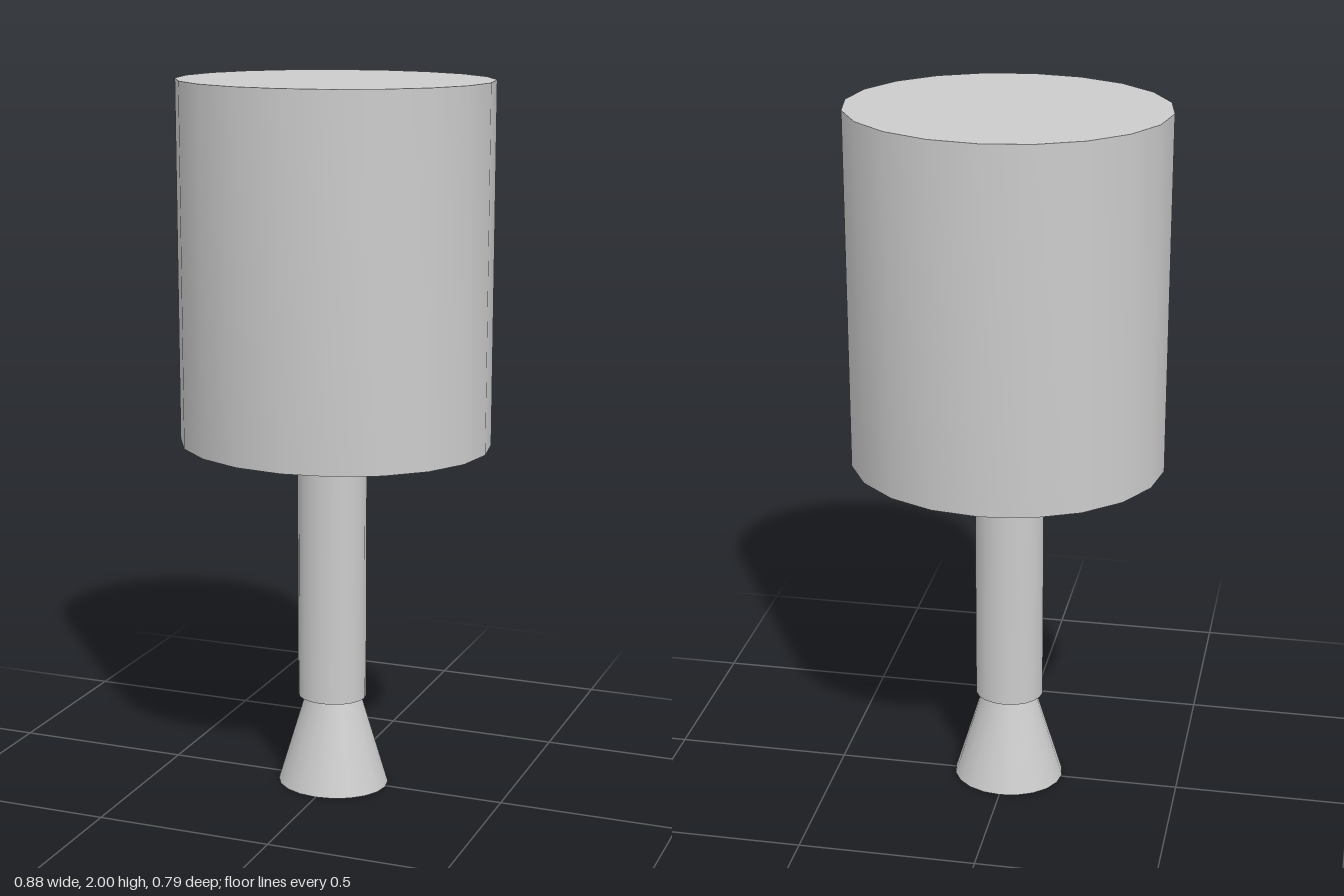
import * as THREE from 'three';
import { toCreasedNormals } from 'three/addons/utils/BufferGeometryUtils.js';

const SIDES = 20;
const OVAL = 0.9; // depth to width ratio shared by every part

export function createModel() {
  const model = new THREE.Group();
  const material = new THREE.MeshStandardMaterial({ color: 0xcccccc });

  function add(name, geometry, x, y, z) {
    geometry.scale(1, 1, OVAL);
    const mesh = new THREE.Mesh(toCreasedNormals(geometry, 0.6), material);
    mesh.name = name;
    mesh.position.set(x, y, z);
    model.add(mesh);
  }

  // Hollow oval head, closed on top and open below
  const profile = [[0, 0.94], [0.38, 0.94], [0.38, 0], [0.438, 0], [0.438, 1], [0, 1]]
    .map(([r, y]) => new THREE.Vector2(r, y));
  add('head', new THREE.LatheGeometry(profile, SIDES), 0, 1, 0);

  // Stem, running up inside the head to its ceiling
  const bottom = 0.263, top = 1.95;
  add('stem', new THREE.CylinderGeometry(0.098, 0.098, top - bottom, SIDES), -0.002, (top + bottom) / 2, 0.017);

  // Flared foot
  add('foot', new THREE.CylinderGeometry(0.079, 0.159, 0.265, SIDES), -0.002, 0.1325, 0.008);

  return model;
}
